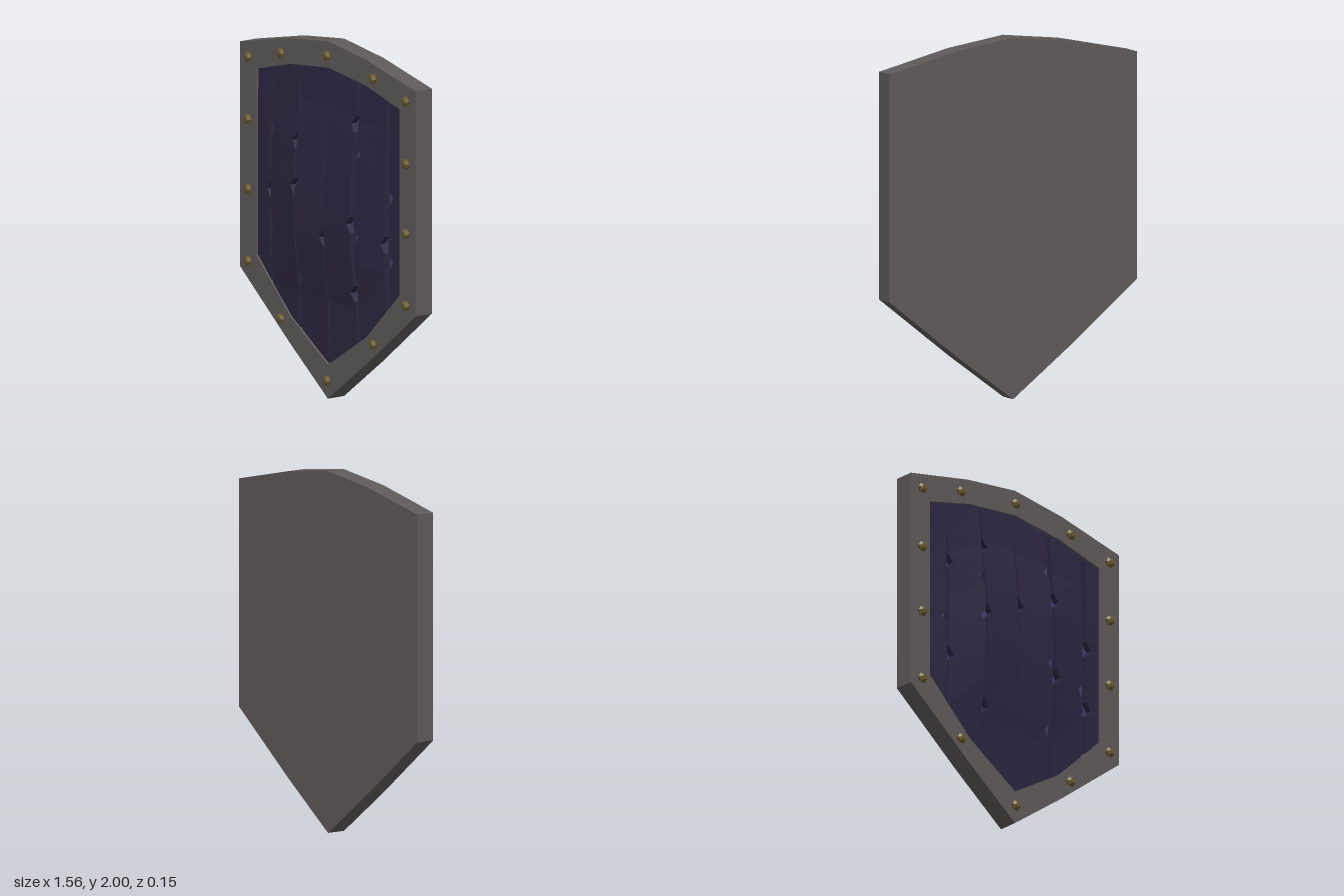
import * as THREE from 'three';

const material = (color, extra = {}) => new THREE.MeshStandardMaterial({ color, flatShading: true, ...extra });
const BACK = -0.078, FRONT = 0.034;

// Right half of each outline, from bottom tip to top centre
const OUTER = [[0, 0], [0.35, 0.26], [0.78, 0.6], [0.78, 1.86], [0.35, 1.955], [0, 2]];
const INNER = [[0, 0.19], [0.335, 0.4], [0.637, 0.69], [0.637, 1.733], [0.335, 1.813], [0, 1.853]];

// Full outline, counter-clockwise
function outline(half) {
  const mirrored = half.slice(1, -1).reverse().map(([x, y]) => [-x, y]);
  return [...half, ...mirrored].map(([x, y]) => new THREE.Vector2(x, y));
}

// Height on the polyline through three outline points
function edgeY(x, pts) {
  const [p, q] = Math.abs(x) < pts[1][0] ? [pts[0], pts[1]] : [pts[1], pts[2]];
  return p[1] + (q[1] - p[1]) * (Math.abs(x) - p[0]) / (q[0] - p[0]);
}
const bottomY = x => edgeY(x, INNER.slice(0, 3)) - 0.035;
const topY = x => edgeY(x, INNER.slice(3).reverse()) + 0.035;

// Bulging face of the wooden field, level near its border
function bulge(x, y) {
  const ax = Math.abs(x);
  const across = ax < 0.25 ? 0.9 + 0.4 * ax : Math.max(0, 1 - (ax - 0.25) / 0.37);
  const along = Math.max(0, 1 - ((y - 1.08) / 0.61) ** 2);
  return 0.02 + 0.055 * across * along;
}

// Vertical strip from a to b; chips are heights of notches in each edge
function strip(a, b, chipsA, chipsB, offset, walls) {
  const HALF = 0.045, DEPTH = 0.035;
  const notch = (y, chips) => Math.max(0, ...chips.map(c => DEPTH * (1 - Math.abs(y - c) / HALF)));
  const low = Math.max(bottomY(a), bottomY(b)), high = Math.min(topY(a), topY(b));
  const ys = [0.55, 0.8, 1.08, 1.35, 1.6];
  for (const c of [...chipsA, ...chipsB]) ys.push(c - HALF, c, c + HALF);
  const inside = [...new Set(ys)].filter(y => y > low + 0.01 && y < high - 0.01).sort((p, q) => p - q);
  const rows = [[bottomY(a), bottomY(b)], ...inside.map(y => [y, y]), [topY(a), topY(b)]];

  const pos = [];
  const quad = (p, q, r, s) => [p, q, r, p, r, s].forEach(v => pos.push(...v));
  const sections = rows.map(([ya, yb]) => {
    const xa = a + notch(ya, chipsA), xb = b - notch(yb, chipsB);
    const za = bulge(xa, ya) - offset, zb = bulge(xb, yb) - offset;
    return { l: [xa, ya, za], r: [xb, yb, zb], lb: [xa, ya, za - 0.045], rb: [xb, yb, zb - 0.045] };
  });
  for (let i = 0; i < sections.length - 1; i++) {
    const s = sections[i], t = sections[i + 1];
    quad(s.l, s.r, t.r, t.l);
    if (walls) {
      quad(t.l, t.lb, s.lb, s.l);
      quad(s.r, s.rb, t.rb, t.r);
    }
  }
  const geometry = new THREE.BufferGeometry();
  geometry.setAttribute('position', new THREE.Float32BufferAttribute(pos, 3));
  geometry.computeVertexNormals();
  return geometry;
}

export function createModel() {
  const group = new THREE.Group();
  const add = (name, geometry, mat, parent = group) => {
    const mesh = new THREE.Mesh(geometry, mat);
    mesh.name = name;
    parent.add(mesh);
    return mesh;
  };
  const metal = material(0x5f5a5a);
  const wood = material(0x2c2740, { side: THREE.DoubleSide });
  const underlay = material(0x453c76, { side: THREE.DoubleSide });
  const brass = material(0x6b5a28);

  // Rim with an opening, closed at the back by a thin panel
  const rim = new THREE.Shape(outline(OUTER));
  rim.holes.push(new THREE.Path(outline(INNER).reverse()));
  add('rim', new THREE.ExtrudeGeometry(rim, { depth: FRONT - BACK, bevelEnabled: false }), metal).position.z = BACK;
  const panel = new THREE.Shape(outline(INNER));
  add('backPanel', new THREE.ExtrudeGeometry(panel, { depth: 0.01, bevelEnabled: false }), metal).position.z = BACK;

  // Chipped planks: left edge, right edge, notch heights in each edge
  const planks = new THREE.Group();
  planks.name = 'planks';
  group.add(planks);
  [
    [-0.67, -0.51, [], [1.08]],
    [-0.5, -0.255, [1.42, 0.86], [1.4, 1.15]],
    [-0.243, -0.005, [1.59, 1.19, 0.63], [0.9]],
    [0.005, 0.247, [1.3], [1.58, 1.02, 0.63]],
    [0.275, 0.505, [1.42, 0.96], [0.95]],
    [0.538, 0.67, [1.22, 0.86], []],
  ].forEach(([a, b, ca, cb]) => add('plank', strip(a, b, ca, cb, 0, true), wood, planks));

  // Underlay seen through the gaps and chips
  const edges = [-0.67, -0.5, -0.25, 0, 0.25, 0.5, 0.67];
  for (let i = 0; i < edges.length - 1; i++) {
    add('underlay', strip(edges[i], edges[i + 1], [], [], 0.038, false), underlay);
  }

  // Six-sided rivets around the rim
  const profile = [[0.022, -0.004], [0.03, 0.006], [0.03, 0.012], [0.014, 0.024], [0, 0.024]]
    .map(([x, y]) => new THREE.Vector2(x, y));
  const rivet = new THREE.LatheGeometry(profile, 6, Math.PI / 6).rotateX(Math.PI / 2);
  const spots = [[0, 1.92], [0.41, 1.863], [0.702, 1.79], [0.702, 1.44], [0.702, 1.05], [0.702, 0.647], [0.41, 0.377], [0, 0.103]];
  for (const [x, y] of spots) {
    for (const side of x ? [1, -1] : [1]) add('rivet', rivet, brass).position.set(side * x, y, FRONT);
  }
  return group;
}
